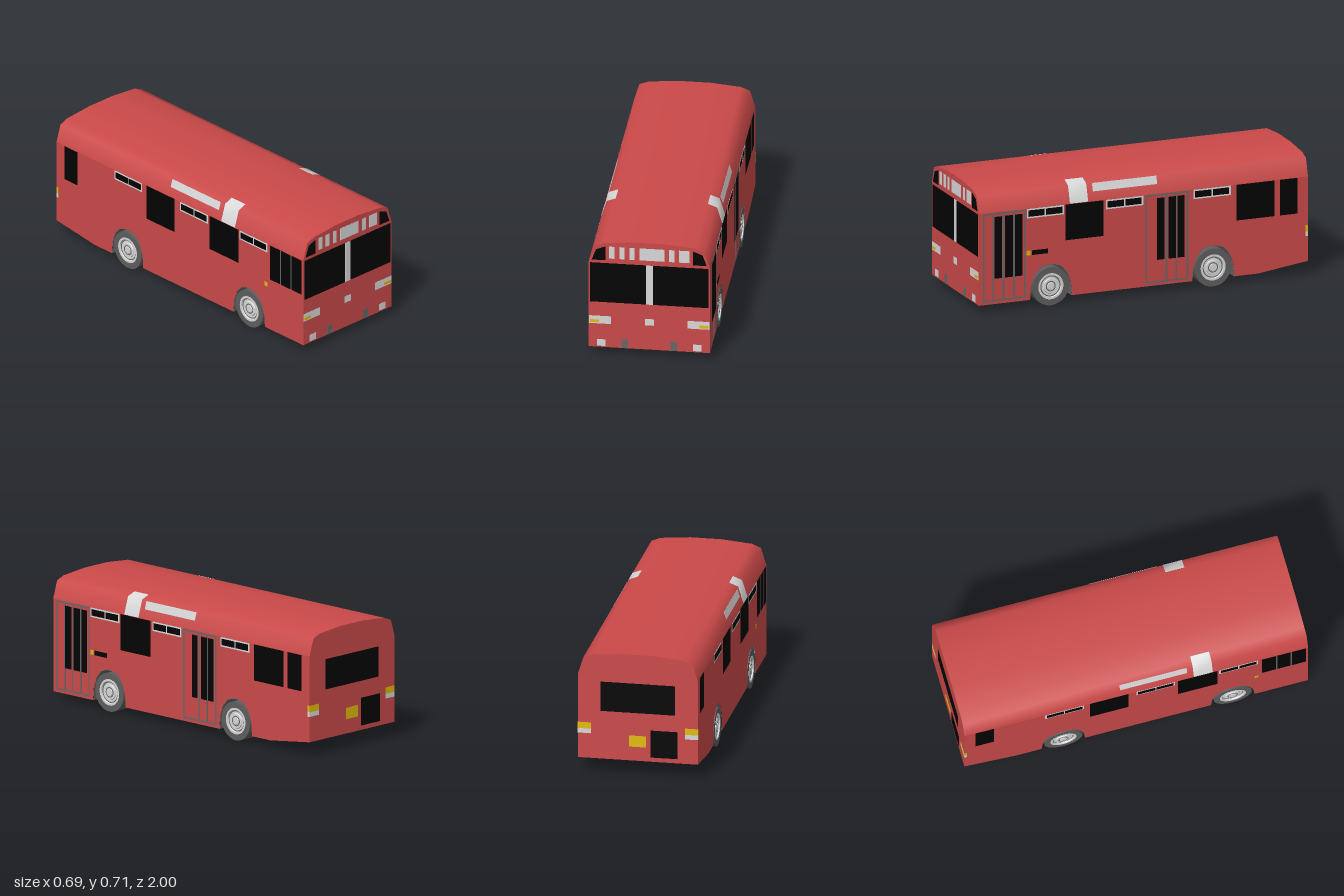
import * as THREE from 'three';
import { toCreasedNormals } from 'three/addons/utils/BufferGeometryUtils.js';

const W = 0.3425, L = 0.9985, FLOOR = 0.045, DECK = 0.241, EAVE = 0.579, TAIL = 0.085;
const PROUD = 0.0007; // how far each layer of painted plates stands out

const material = (name, color) => {
  const m = new THREE.MeshStandardMaterial({ color });
  m.name = name;
  return m;
};

export function createModel() {
  const red = material('red paint', 0xcb4949);
  red.side = THREE.DoubleSide;
  const black = material('black glass', 0x030303);
  const silver = material('silver trim', 0xd9d9d9);
  const grey = material('dark grey', 0x686868);
  const rubber = material('tyre rubber', 0x5e5e5e);
  const yellow = material('yellow lamp', 0xe2bb0c);

  const bus = new THREE.Group();
  bus.name = 'bus';
  const add = (name, geometry, mat, parent = bus) => {
    const mesh = new THREE.Mesh(geometry, mat);
    mesh.name = name;
    parent.add(mesh);
    return mesh;
  };
  const shapeOf = (pts) => new THREE.Shape(pts.map(([x, y]) => new THREE.Vector2(x, y)));
  // Extrude an (x, y) outline between two z positions
  const alongZ = (pts, z0, z1) => toCreasedNormals(
    new THREE.ExtrudeGeometry(shapeOf(pts), { depth: z1 - z0, bevelEnabled: false }).translate(0, 0, z0), 1.0);
  // Extrude a (z, y) outline across the width
  const acrossX = (pts, half) => toCreasedNormals(
    new THREE.ExtrudeGeometry(shapeOf(pts), { depth: 2 * half, bevelEnabled: false })
      .translate(0, 0, -half).rotateY(-Math.PI / 2), 0.7);

  // Thin plates on the ends (end = 1 front, -1 back) and sides (side = 1 left, -1 right)
  const endPlate = (name, mat, end, x0, x1, y0, y1, layer = 1, depth = 0.003) =>
    add(name, new THREE.BoxGeometry(x1 - x0, y1 - y0, depth), mat)
      .position.set((x0 + x1) / 2, (y0 + y1) / 2, end * (L - depth / 2 + PROUD * layer));
  const sidePlate = (name, mat, side, z0, z1, y0, y1, layer = 1) =>
    add(name, new THREE.BoxGeometry(0.003, y1 - y0, z1 - z0), mat)
      .position.set(side * (W - 0.0015 + PROUD * layer), (y0 + y1) / 2, (z0 + z1) / 2);

  // Side walls with wheel arches
  const half = [[0.128, FLOOR], [0.122, 0.12], [0.1, 0.185], [0.065, 0.225], [0.022, 0.24]];
  const archOffsets = [...half.map(([z, y]) => [-z, y]), ...half.slice().reverse()];
  const arch = (zc, k = 1) => archOffsets.map(([z, y]) => [zc + z * k, FLOOR + (y - FLOOR) * k]);
  const axles = { front: 0.561, rear: -0.423 };
  const wall = new THREE.ShapeGeometry(shapeOf([
    [L, FLOOR], [L, EAVE], [-L, EAVE], [-L, TAIL], [-0.69, FLOOR],
    ...arch(axles.rear), ...arch(axles.front),
  ])).rotateY(-Math.PI / 2);
  add('rightWall', wall, red).position.x = -W;
  add('leftWall', wall.clone().scale(-1, 1, 1), red).position.x = W;
  // The mirrored wall needs its corner order turned round again
  const leftGeometry = bus.getObjectByName('leftWall').geometry;
  leftGeometry.index.array.reverse();
  leftGeometry.computeVertexNormals();

  // End walls, sloping tail and recessed deck; the skirt is open underneath
  const panel = (name, depth, x, y, z, tilt) => {
    const mesh = add(name, new THREE.PlaneGeometry(2 * W, depth), red);
    mesh.position.set(x, y, z);
    mesh.rotation.x = tilt;
  };
  panel('frontWall', EAVE - FLOOR, 0, (EAVE + FLOOR) / 2, L, 0);
  panel('backWall', EAVE - TAIL, 0, (EAVE + TAIL) / 2, -L, Math.PI);
  panel('tailSlope', Math.hypot(L - 0.69, TAIL - FLOOR), 0, (TAIL + FLOOR) / 2, -(L + 0.69) / 2,
    Math.PI / 2 + Math.atan2(TAIL - FLOOR, L - 0.69));
  panel('deck', 2 * L, 0, DECK, 0, Math.PI / 2);

  // Wheel tunnels
  for (const [name, zc] of Object.entries(axles)) {
    add(name + 'WheelTunnel', acrossX([...arch(zc), ...arch(zc, 0.98).reverse()], W - 0.001), grey);
  }

  // Curved roof
  const eaves = [[W, EAVE], [0.312, 0.678], [0.26, 0.698], [0.09, 0.713]];
  add('roof', alongZ([...eaves, ...eaves.slice().reverse().map(([x, y]) => [-x, y])], -L, L), red);

  // Panels following the roof edge
  const roofPanel = (name, pts, z0, z1) => {
    const outer = pts.map(([x, y]) => [x + 0.001, y + 0.001]);
    for (const s of [1, -1]) {
      const outline = [...outer, ...pts.slice().reverse()].map(([x, y]) => [s * x, y]);
      add(name, alongZ(outline, z0, z1), silver);
    }
  };
  roofPanel('roofPatch', eaves.slice(0, 3), 0.335, 0.445);
  roofPanel('roofStrip', [[0.327, 0.63], [0.313, 0.6755]], -0.09, 0.3);

  // Front
  endPlate('windscreen', black, 1, -0.334, 0.335, 0.328, 0.574);
  endPlate('windscreenDivider', silver, 1, -0.018, 0.022, 0.328, 0.574, 2);
  for (const [x0, x1] of [[-0.226, -0.196], [-0.169, -0.139], [-0.112, -0.084],
    [-0.056, 0.086], [0.112, 0.142], [0.169, 0.228]]) {
    endPlate('destinationPanel', silver, 1, x0, x1, 0.604, 0.679);
  }
  endPlate('frontBadgePlate', silver, 1, -0.024, 0.026, 0.197, 0.237);
  for (const s of [1, -1]) {
    const mirrored = (name, mat, a, b, y0, y1, layer, depth) =>
      endPlate(name, mat, 1, Math.min(s * a, s * b), Math.max(s * a, s * b), y0, y1, layer, depth);
    mirrored('headlight', silver, 0.215, 0.34, 0.192, 0.24);
    mirrored('frontIndicator', yellow, 0.284, 0.335, 0.199, 0.216, 2);
    mirrored('fogLight', silver, 0.246, 0.295, 0.052, 0.093);
    mirrored('towCover', grey, 0.119, 0.157, FLOOR, 0.101, 1, 0.009);
    add('upperCornerWindow', alongZ(
      [[0.247, 0.592], [0.325, 0.592], [0.301, 0.657], [0.247, 0.679]].map(([x, y]) => [s * x, y]),
      L - 0.002, L + PROUD), black);
  }

  // Back
  endPlate('rearWindow', black, -1, -0.211, 0.213, 0.368, 0.542);
  endPlate('rearPlate', yellow, -1, -0.046, 0.05, 0.167, 0.233);
  endPlate('engineGrille', black, -1, -0.225, -0.073, 0.11, 0.27);
  for (const s of [1, -1]) {
    for (const [name, mat, y0, y1] of [['rearLamp', yellow, 0.258, 0.295], ['reverseLamp', silver, 0.231, 0.258]]) {
      endPlate(name, mat, -1, s > 0 ? 0.268 : -W, s > 0 ? W : -0.268, y0, y1);
      sidePlate(name + 'Return', mat, s, -L, -0.984, y0, y1);
    }
  }

  // Sides: vents, windows and markers
  const sideWindow = (side, z0, z1) => sidePlate('sideWindow', black, side, z0, z1, 0.369, 0.577);
  for (const s of [1, -1]) {
    for (const z0 of [0.482, 0.001, -0.53]) {
      sidePlate('ventFrame', silver, s, z0, z0 + 0.225, 0.522, 0.577);
      for (const d of [0.01, 0.117]) sidePlate('ventPane', black, s, z0 + d, z0 + d + 0.099, 0.531, 0.568, 2);
    }
    sideWindow(s, 0.242, 0.473);
    sideWindow(s, -0.935, -0.828);
    sidePlate('sideMarker', yellow, s, 0.686, 0.709, 0.306, 0.333);
  }
  sideWindow(1, -0.796, -0.566);
  sideWindow(-1, -0.27, -0.045);
  sidePlate('sidePlate', black, 1, 0.58, 0.676, 0.306, 0.333);

  // Driver's window with dividers
  sidePlate('driverWindow', black, -1, 0.73, 0.985, 0.36, 0.574);
  for (const z of [0.815, 0.9]) sidePlate('driverWindowDivider', grey, -1, z - 0.004, z + 0.004, 0.36, 0.574, 2);

  // Passenger doors on the left side
  const door = (name, z0, z1, bars, panes) => {
    for (const z of [z0, ...bars, z1]) sidePlate(name + 'Post', grey, 1, z - 0.005, z + 0.005, 0.061, 0.576);
    for (const y of [0.066, 0.571]) sidePlate(name + 'Rail', grey, 1, z0, z1, y - 0.005, y + 0.005);
    for (const [a, b] of panes) sidePlate(name + 'Glass', black, 1, a, b, 0.193, 0.553, 2);
  };
  door('frontDoor', 0.72, 0.968, [0.785, 0.848, 0.91], [[0.735, 0.779], [0.791, 0.84], [0.858, 0.904]]);
  door('middleDoor', -0.267, -0.018, [-0.2, -0.14], [[-0.25, -0.207], [-0.198, -0.152], [-0.126, -0.083]]);

  // Wheels, with twin tyres at the rear
  const lathe = (pts) => toCreasedNormals(
    new THREE.LatheGeometry(pts.map(([r, h]) => new THREE.Vector2(r, h)), 28), 0.5);
  const h = 0.037;
  const tyre = lathe([[0.072, -h], [0.111, -h], [0.111, h], [0.072, h]]);
  const rimSide = [[0.076, h + 0.001], [0.064, h + 0.001], [0.061, h - 0.008], [0.044, h - 0.008],
    [0.041, h - 0.002], [0.022, h - 0.002], [0.02, h + 0.001], [0, h + 0.001]];
  const rim = lathe([...rimSide.slice().reverse().map(([r, y]) => [r, -y]), ...rimSide]);
  const ring = (r, y) => lathe([[r + 0.003, y - 0.001], [r + 0.003, y + 0.001], [r - 0.003, y + 0.001]]);
  const rings = [ring(0.058, h - 0.008), ring(0.027, h - 0.002)];
  const wheel = (name, x, z) => {
    const g = new THREE.Group();
    g.name = name;
    add('tyre', tyre, rubber, g);
    add('rim', rim, silver, g);
    for (const r of rings) add('rimRing', r, grey, g);
    g.rotation.z = -Math.sign(x) * Math.PI / 2;
    g.position.set(x, 0.111, z);
    bus.add(g);
  };
  for (const s of [1, -1]) {
    wheel('frontWheel', s * 0.3055, axles.front);
    wheel('rearOuterWheel', s * 0.3055, axles.rear);
    wheel('rearInnerWheel', s * 0.2235, axles.rear);
  }
  return bus;
}
